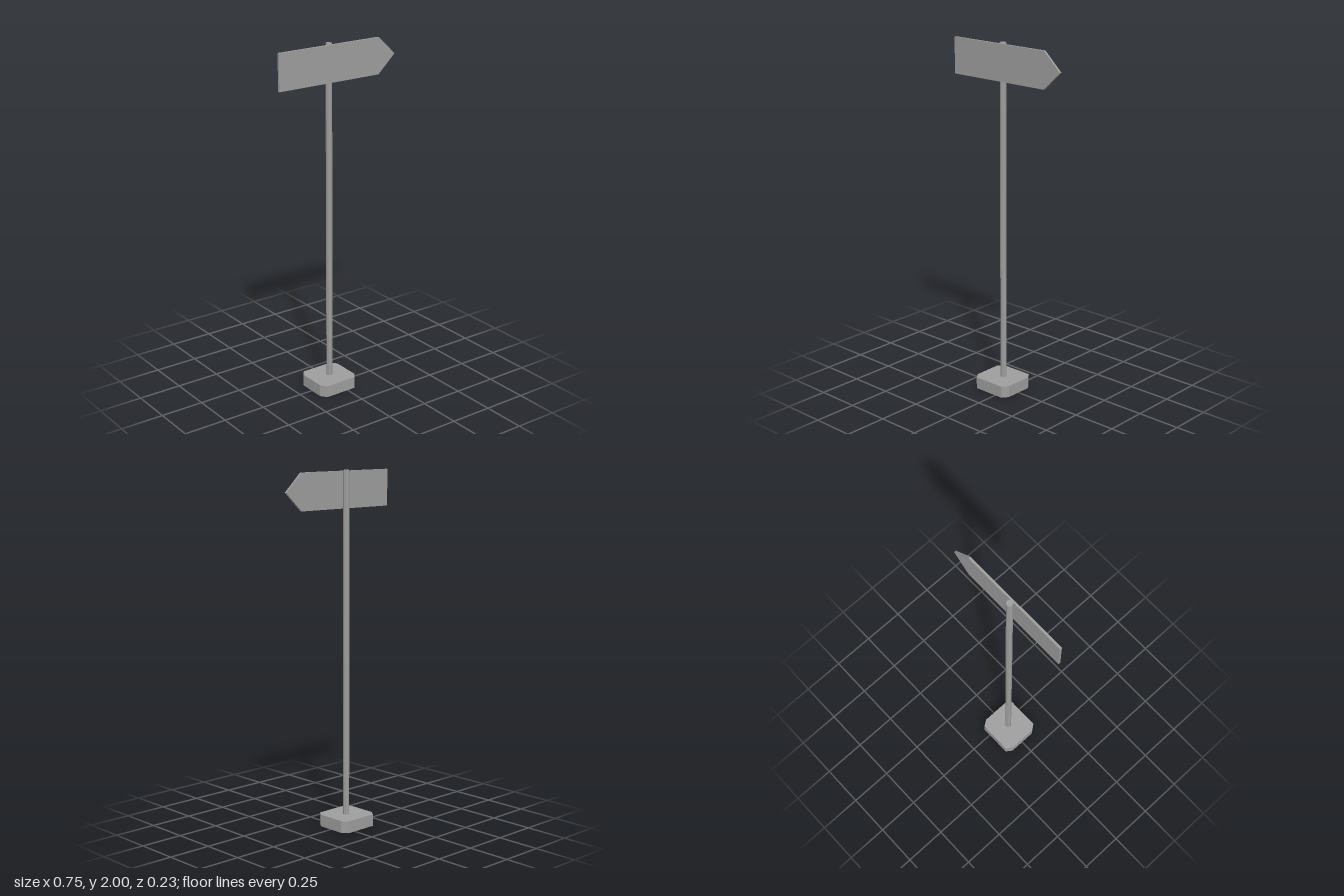
import * as THREE from 'three';

const POLE_X = -0.0435, POLE_Z = -0.0015;

function makeMaterial(side = THREE.FrontSide) {
  return new THREE.MeshStandardMaterial({ color: 0x9d9d9d, flatShading: true, side });
}

function addMesh(parent, name, geometry, material) {
  const mesh = new THREE.Mesh(geometry, material);
  mesh.name = name;
  parent.add(mesh);
  return mesh;
}

// Hollow foot: chamfered top plate with side walls, open underneath
function createBase() {
  const base = new THREE.Group();
  base.name = 'base';
  const material = makeMaterial(THREE.DoubleSide);
  const w = 0.1215, d = 0.1165, cx = 0.025, cz = 0.036, h = 0.068;
  const outline = [
    [w, -d + cz], [w, d - cz], [w - cx, d], [-w + cx, d],
    [-w, d - cz], [-w, -d + cz], [-w + cx, -d], [w - cx, -d],
  ].map(([x, y]) => new THREE.Vector2(x, y));

  const top = new THREE.ShapeGeometry(new THREE.Shape(outline));
  top.rotateX(-Math.PI / 2).translate(0, h, 0);
  addMesh(base, 'baseTop', top, material);

  const positions = [];
  outline.forEach((a, i) => {
    const b = outline[(i + 1) % outline.length];
    positions.push(
      a.x, 0, -a.y, b.x, 0, -b.y, b.x, h, -b.y,
      a.x, 0, -a.y, b.x, h, -b.y, a.x, h, -a.y,
    );
  });
  const walls = new THREE.BufferGeometry();
  walls.setAttribute('position', new THREE.Float32BufferAttribute(positions, 3));
  walls.computeVertexNormals();
  addMesh(base, 'baseWalls', walls, material);

  base.position.set(-0.048, 0, 0);
  return base;
}

// Arrow-shaped board pointing to +x
function createSign() {
  const shape = new THREE.Shape([
    [-0.378, 1.791], [0.268, 1.791], [0.377, 1.893], [0.268, 1.995], [-0.378, 1.995],
  ].map(([x, y]) => new THREE.Vector2(x, y)));
  const geometry = new THREE.ExtrudeGeometry(shape, { depth: 0.012, bevelEnabled: false });
  return geometry.translate(0, 0, 0.0145);
}

export function createModel() {
  const model = new THREE.Group();
  model.name = 'signpost';
  model.add(createBase());

  // Post runs from just inside the foot to the top
  const bottom = 0.06, top = 2;
  const pole = new THREE.CylinderGeometry(0.0178, 0.0178, top - bottom, 8);
  addMesh(model, 'pole', pole, makeMaterial()).position.set(POLE_X, (top + bottom) / 2, POLE_Z);

  addMesh(model, 'arrowSign', createSign(), makeMaterial());
  return model;
}
